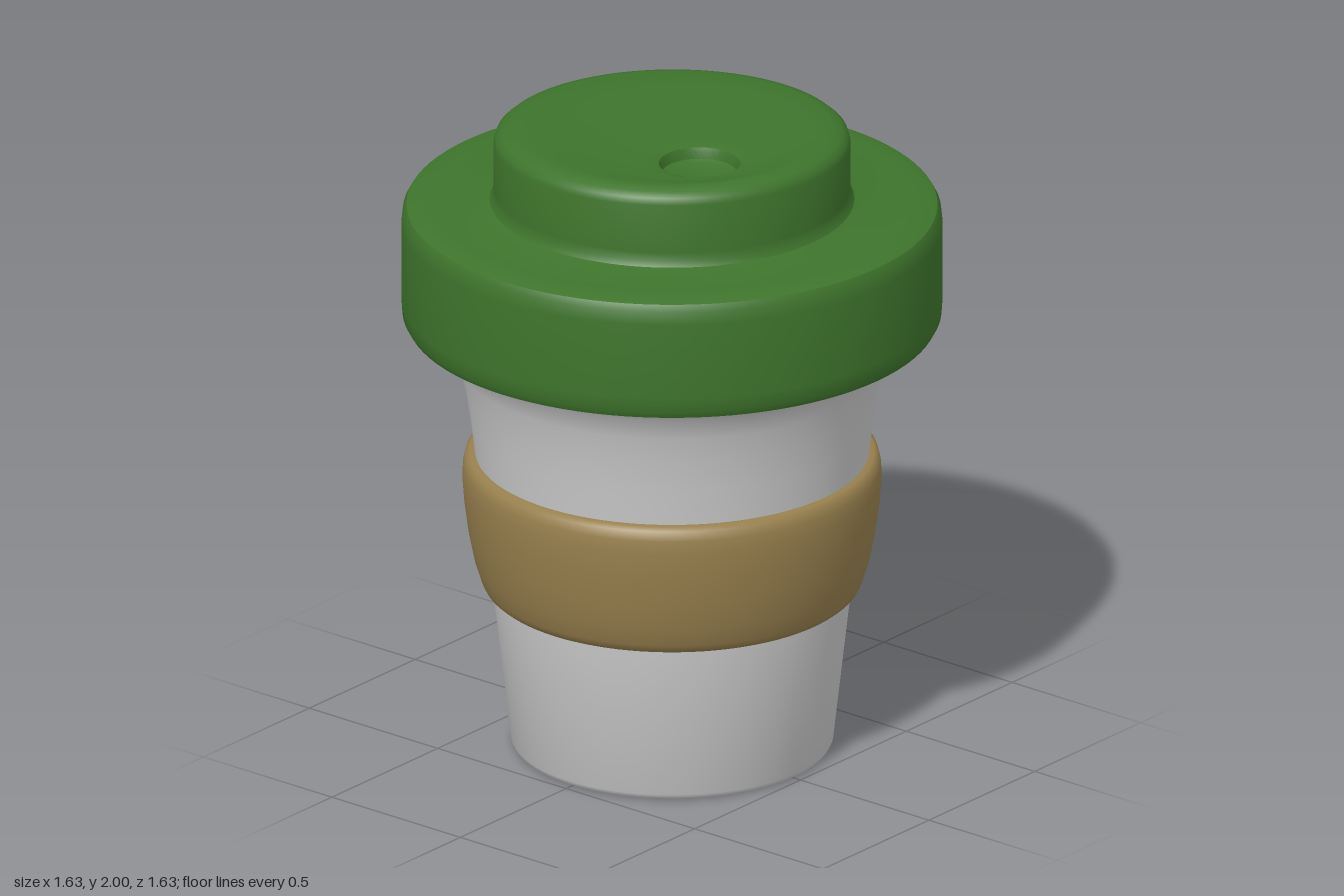
import * as THREE from 'three';
import { toCreasedNormals } from 'three/addons/utils/BufferGeometryUtils.js';

const SEGMENTS = 96;

// Turned part from [radius, height] pairs; an optional rule moves its vertices
function turned(name, color, profile, rule) {
  const points = profile.map(([r, y]) => new THREE.Vector2(r, y));
  const geometry = new THREE.LatheGeometry(points, SEGMENTS);
  if (rule) {
    const pos = geometry.attributes.position;
    const v = new THREE.Vector3();
    for (let i = 0; i < pos.count; i++) {
      rule(v.fromBufferAttribute(pos, i));
      pos.setXYZ(i, v.x, v.y, v.z);
    }
  }
  const material = new THREE.MeshStandardMaterial({ color, side: THREE.DoubleSide });
  const mesh = new THREE.Mesh(toCreasedNormals(geometry, 0.7), material);
  mesh.name = name;
  return mesh;
}

// Slides the inner rings of the lid top over to the drinking hole and tilts the rim slightly
function shapeLidTop(v) {
  const r = Math.hypot(v.x, v.z);
  if (v.y < 1.85 || r > 0.54) return;
  const shift = THREE.MathUtils.clamp((0.48 - r) / (0.48 - 0.122), 0, 1);
  if (v.y > 1.94) v.y += 0.012 * ((v.x + v.z) / 0.75 - 1) * (1 - shift);
  v.x += 0.21 * shift;
  v.z += 0.125 * shift;
}

export function createModel() {
  const group = new THREE.Group();
  group.name = 'travelCup';

  // Tapered cup, flaring out under the lid
  group.add(turned('cup', 0xcccccc, [
    [0, 0], [0.465, 0], [0.478, 0.006], [0.485, 0.02], [0.54, 0.51], [0.592, 0.94],
    [0.605, 1.05], [0.622, 1.16], [0.642, 1.24], [0.664, 1.31], [0.69, 1.335],
    [0.735, 1.37], [0.75, 1.42],
  ]));

  // Bulging grip band
  group.add(turned('sleeve', 0x98804e, [
    [0.535, 0.51], [0.553, 0.511], [0.566, 0.522], [0.575, 0.54], [0.594, 0.6],
    [0.612, 0.69], [0.624, 0.78], [0.63, 0.86], [0.628, 0.9], [0.621, 0.93],
    [0.608, 0.94], [0.585, 0.941],
  ]));

  // Lid: wide collar, raised cap and sunken drinking hole
  group.add(turned('lid', 0x3e742c, [
    [0.7, 1.385], [0.735, 1.37], [0.775, 1.367], [0.798, 1.373], [0.81, 1.395],
    [0.813, 1.44], [0.813, 1.68], [0.809, 1.72], [0.798, 1.74], [0.77, 1.749],
    [0.72, 1.752], [0.57, 1.752], [0.548, 1.758], [0.538, 1.775], [0.536, 1.8],
    [0.536, 1.955], [0.53, 1.975], [0.513, 1.99], [0.48, 1.999], [0.42, 1.998],
    [0.34, 1.99], [0.24, 1.98], [0.16, 1.974], [0.13, 1.972], [0.122, 1.968],
    [0.117, 1.955], [0.113, 1.935], [0.1, 1.928], [0, 1.928],
  ], shapeLidTop));

  return group;
}
